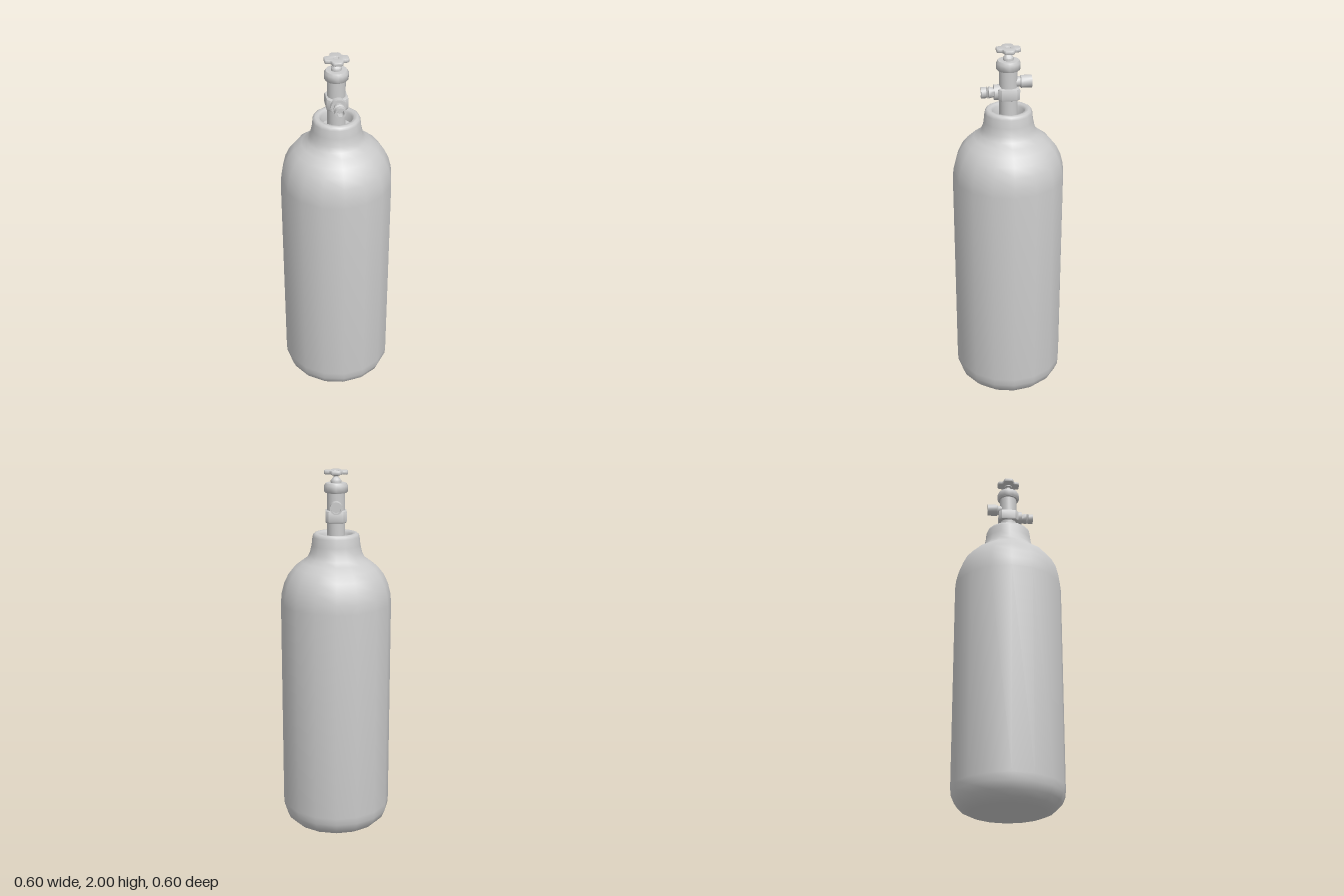
import * as THREE from 'three';
import { toCreasedNormals } from 'three/addons/utils/BufferGeometryUtils.js';

const material = new THREE.MeshStandardMaterial({ color: 0xcccccc });

export function createModel() {
  const model = new THREE.Group();

  function add(parent, name, geometry, crease = 0.8) {
    const mesh = new THREE.Mesh(toCreasedNormals(geometry, crease), material);
    mesh.name = name;
    parent.add(mesh);
    return mesh;
  }
  // Turned part from [radius, height] pairs
  const turned = (points, sides = 16) =>
    new THREE.LatheGeometry(points.map(([r, y]) => new THREE.Vector2(r, y)), sides);

  // Tank: dished foot, straight wall, domed shoulder and open collar
  add(model, 'tank', turned([
    [0, 0.012], [0.13, 0.01], [0.185, 0], [0.215, 0.004], [0.25, 0.02], [0.28, 0.05], [0.297, 0.09], [0.3, 0.13],
    [0.3, 1.29], [0.295, 1.34], [0.281, 1.395], [0.257, 1.445], [0.225, 1.485], [0.185, 1.515],
    [0.155, 1.537], [0.14, 1.565], [0.131, 1.605], [0.126, 1.65], [0.121, 1.664], [0.11, 1.67],
    [0.093, 1.668], [0.084, 1.655], [0.08, 1.61], [0, 1.61],
  ]), 1.1);

  const valve = new THREE.Group();
  valve.name = 'valve';
  model.add(valve);

  // Upright valve stem, its cap nut and the spindle
  add(valve, 'valveStem', turned([[0.048, 1.61], [0.048, 1.89]]));
  add(valve, 'capNut', turned([
    [0.04, 1.883], [0.058, 1.883], [0.063, 1.889], [0.063, 1.92], [0.055, 1.934], [0, 1.936],
  ]));
  add(valve, 'spindle', turned([
    [0.028, 1.934], [0.028, 1.948], [0.018, 1.96], [0.012, 1.965], [0.012, 1.97],
    [0.022, 1.974], [0.022, 1.984],
  ], 12));

  // Square valve block with chamfered corners
  const h = 0.049, c = 0.036;
  const blockShape = new THREE.Shape([
    [h, -c], [h, c], [c, h], [-c, h], [-h, c], [-h, -c], [-c, -h], [c, -h],
  ].map(([x, y]) => new THREE.Vector2(x, y)));
  const block = new THREE.ExtrudeGeometry(blockShape, {
    depth: 0.046, bevelSize: 0.008, bevelThickness: 0.009, bevelSegments: 2,
  });
  block.rotateX(-Math.PI / 2).translate(0, 1.736, 0);
  add(valve, 'valveBlock', block, 0.6);

  // Front outlet: flange, tapered neck with ring, hollow nozzle
  const frontOutlet = add(valve, 'frontOutlet', turned([
    [0, 0.04], [0.04, 0.04], [0.04, 0.077], [0.025, 0.077], [0.03, 0.098], [0.03, 0.104],
    [0.024, 0.107], [0.03, 0.111], [0.024, 0.115], [0.029, 0.117], [0.029, 0.143],
    [0.019, 0.143], [0.019, 0.11], [0, 0.11],
  ]));
  frontOutlet.rotation.x = Math.PI / 2;
  frontOutlet.position.y = 1.762;

  // Rear outlet: short pipe with a wider hollow end
  const rearOutlet = add(valve, 'rearOutlet', turned([
    [0.027, 0.03], [0.027, 0.06], [0.033, 0.065], [0.033, 0.121],
    [0.025, 0.121], [0.025, 0.1], [0, 0.1],
  ]));
  rearOutlet.rotation.x = -Math.PI / 2;
  rearOutlet.position.y = 1.815;

  // Handwheel: four rounded lobes around a bolt hole
  const wheel = new THREE.Shape();
  for (let i = 0; i < 4; i++) {
    const a = i * Math.PI / 2;
    const p = (x, y) => [x * Math.cos(a) - y * Math.sin(a), x * Math.sin(a) + y * Math.cos(a)];
    if (i === 0) wheel.moveTo(...p(0.05, -0.024));
    else wheel.lineTo(...p(0.05, -0.024));
    wheel.quadraticCurveTo(...p(0.059, -0.022), ...p(0.059, -0.012));
    wheel.lineTo(...p(0.059, 0.012));
    wheel.quadraticCurveTo(...p(0.059, 0.022), ...p(0.05, 0.024));
    wheel.lineTo(...p(0.038, 0.026));
    wheel.quadraticCurveTo(...p(0.028, 0.028), ...p(0.026, 0.038));
  }
  wheel.holes.push(new THREE.Path().absarc(0, 0, 0.017, 0, Math.PI * 2, true));
  const wheelGeometry = new THREE.ExtrudeGeometry(wheel, {
    depth: 0.01, bevelSize: 0.004, bevelThickness: 0.005, bevelSegments: 2, curveSegments: 4,
  });
  wheelGeometry.rotateX(-Math.PI / 2).translate(0, 1.985, 0);
  add(valve, 'handwheel', wheelGeometry);
  add(valve, 'wheelBolt', turned([[0.012, 1.97], [0.012, 1.997], [0, 1.997]], 12));

  return model;
}
